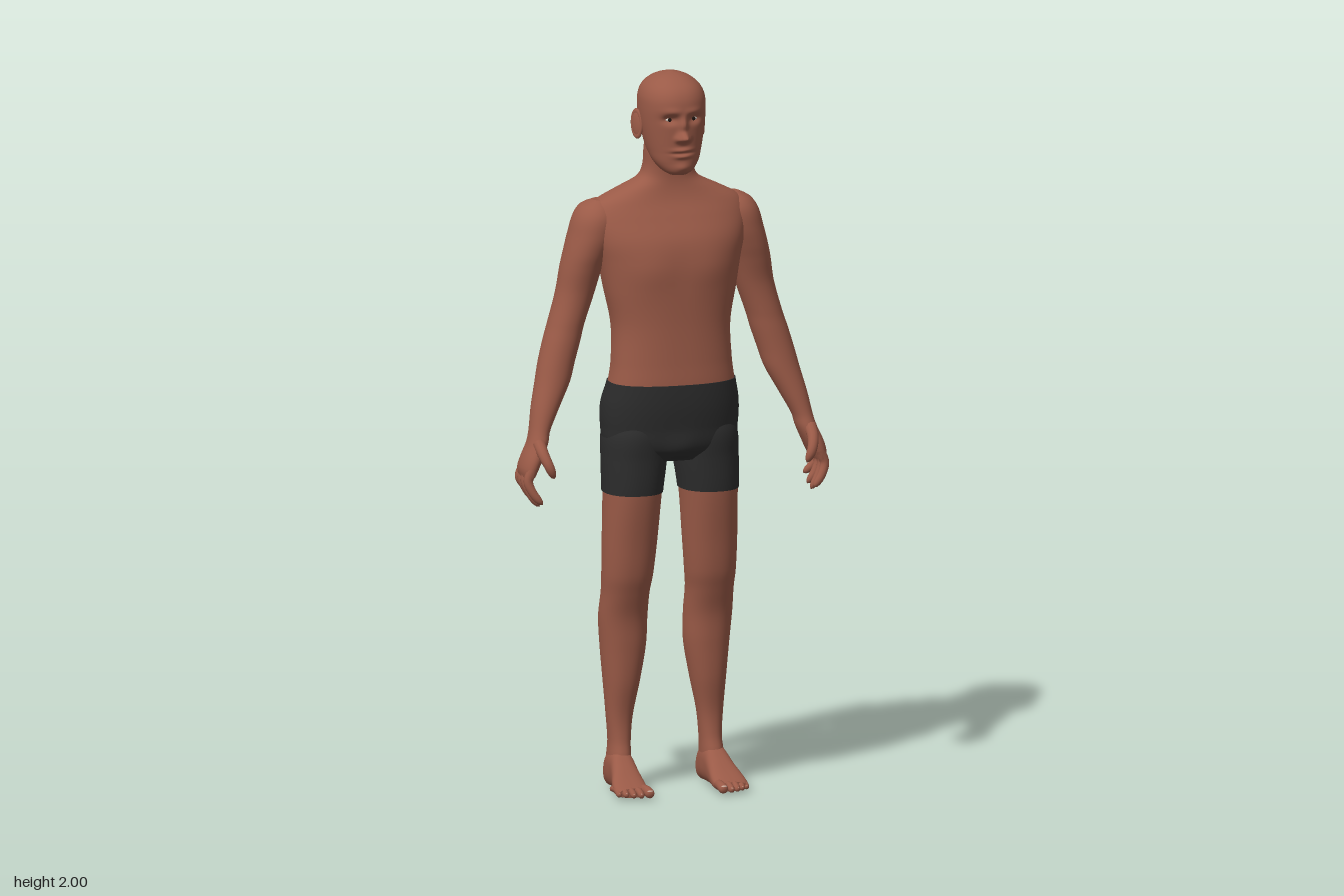
import * as THREE from 'three';
import { mergeVertices } from 'three/addons/utils/BufferGeometryUtils.js';

const paint = (name, color) => Object.assign(new THREE.MeshStandardMaterial({ color }), { name });

// Cross-section rows: [height, centre x, half width, back z, front z]
const TORSO = [
  [0.925, 0, 0.12, -0.08, 0.06], [0.96, 0, 0.175, -0.125, 0.09], [1.02, 0, 0.188, -0.14, 0.1],
  [1.08, 0, 0.188, -0.138, 0.107], [1.14, 0, 0.176, -0.112, 0.108], [1.2, 0, 0.168, -0.105, 0.104],
  [1.3, 0, 0.166, -0.115, 0.1], [1.4, 0, 0.185, -0.13, 0.1], [1.48, 0, 0.2, -0.142, 0.098],
  [1.54, 0, 0.215, -0.148, 0.088], [1.6, 0, 0.222, -0.142, 0.06], [1.64, 0, 0.203, -0.125, 0.04],
  [1.67, 0, 0.148, -0.11, 0.03], [1.7, 0, 0.088, -0.095, 0.025], [1.73, 0, 0.071, -0.085, 0.025],
  [1.79, 0, 0.068, -0.075, 0.03], [1.84, 0, 0.06, -0.06, 0.02],
];
const LEG = [
  [0.05, 0.134, 0.031, -0.105, 0], [0.09, 0.133, 0.031, -0.106, -0.004], [0.13, 0.131, 0.03, -0.1, -0.016],
  [0.2, 0.13, 0.036, -0.1, -0.02], [0.3, 0.124, 0.05, -0.115, -0.005], [0.4, 0.12, 0.063, -0.122, 0.003],
  [0.48, 0.122, 0.067, -0.115, 0.01], [0.55, 0.121, 0.066, -0.1, 0.03], [0.6, 0.119, 0.07, -0.092, 0.045],
  [0.7, 0.115, 0.075, -0.09, 0.06], [0.835, 0.109, 0.079, -0.1, 0.08], [0.93, 0.103, 0.085, -0.115, 0.085],
  [1.0, 0.1, 0.083, -0.125, 0.088], [1.06, 0.09, 0.06, -0.09, 0.07],
];
const ARM = [
  [0.9, 0.418, 0.018, -0.045, 0.058], [0.92, 0.414, 0.025, -0.049, 0.06], [0.95, 0.403, 0.028, -0.045, 0.058],
  [0.99, 0.386, 0.028, -0.042, 0.046], [1.02, 0.378, 0.028, -0.045, 0.035], [1.08, 0.357, 0.038, -0.065, 0.025],
  [1.15, 0.33, 0.048, -0.087, 0.014], [1.2, 0.316, 0.05, -0.1, 0.008], [1.26, 0.298, 0.051, -0.11, 0.003],
  [1.3, 0.286, 0.05, -0.115, 0], [1.39, 0.258, 0.053, -0.118, 0], [1.46, 0.242, 0.057, -0.122, 0.012],
  [1.5, 0.23, 0.06, -0.125, 0.02], [1.55, 0.212, 0.065, -0.13, 0.025], [1.6, 0.2, 0.062, -0.125, 0.02],
  [1.63, 0.195, 0.045, -0.11, 0], [1.645, 0.19, 0.02, -0.075, -0.025],
];
const HEAD = [
  [1.725, 0, 0.025, 0.03, 0.085], [1.735, 0, 0.042, 0, 0.097], [1.76, 0, 0.062, -0.03, 0.1],
  [1.79, 0, 0.073, -0.062, 0.102], [1.83, 0, 0.082, -0.085, 0.105], [1.87, 0, 0.088, -0.1, 0.108],
  [1.91, 0, 0.09, -0.11, 0.112], [1.94, 0, 0.087, -0.108, 0.107], [1.965, 0, 0.075, -0.095, 0.091],
  [1.985, 0, 0.052, -0.067, 0.062], [1.996, 0, 0.026, -0.036, 0.033], [2.0, 0, 0.005, -0.01, 0.008],
];
// Foot rows run heel to toe: [z, centre x, half width, -top, -bottom]
const FOOT = [
  [-0.118, 0.133, 0.012, -0.05, -0.015], [-0.105, 0.133, 0.028, -0.075, 0], [-0.07, 0.134, 0.034, -0.11, 0],
  [-0.02, 0.135, 0.035, -0.105, 0], [0.02, 0.138, 0.04, -0.078, 0], [0.06, 0.142, 0.047, -0.05, 0],
  [0.09, 0.143, 0.047, -0.034, 0], [0.105, 0.141, 0.042, -0.027, -0.002],
];

// Smooth interpolation of the rows at one height
function sample(rows, y) {
  let i = 0;
  while (i < rows.length - 2 && y > rows[i + 1][0]) i++;
  const a = rows[i], b = rows[i + 1], p = rows[Math.max(i - 1, 0)], q = rows[Math.min(i + 2, rows.length - 1)];
  const h = b[0] - a[0], t = (y - a[0]) / h, t2 = t * t, t3 = t2 * t;
  return a.map((v, k) => {
    const m0 = (b[k] - p[k]) / (b[0] - p[0]) * h, m1 = (q[k] - v) / (q[0] - a[0]) * h;
    return v * (2 * t3 - 3 * t2 + 1) + m0 * (t3 - 2 * t2 + t) + b[k] * (3 * t2 - 2 * t3) + m1 * (t3 - t2);
  });
}

// Closed skin through superellipse rings, from height y0 to y1
function loft(rows, y0, y1, { count = 50, segs = 48, power = 2.2, grow = 0 } = {}) {
  const pos = [], index = [];
  const ring = (y) => {
    const [, cx, rx, zb, zf] = sample(rows, y);
    for (let j = 0; j < segs; j++) {
      const a = j / segs * Math.PI * 2, c = Math.cos(a), s = Math.sin(a);
      pos.push(cx + (rx + grow) * Math.sign(c) * Math.abs(c) ** (2 / power), y,
        (zb + zf) / 2 + ((zf - zb) / 2 + grow) * Math.sign(s) * Math.abs(s) ** (2 / power));
    }
    return [cx, y, (zb + zf) / 2];
  };
  for (let i = 0; i <= count; i++) {
    ring(y0 + (y1 - y0) * i / count);
    for (let j = 0; j < segs && i < count; j++) {
      const a = i * segs + j, b = i * segs + (j + 1) % segs;
      index.push(a, a + segs, b, b, a + segs, b + segs);
    }
  }
  [y0, y1].forEach((y, top) => {
    const base = pos.length / 3;
    pos.push(...ring(y));
    for (let j = 0; j < segs; j++) {
      const a = base + j, b = base + (j + 1) % segs;
      index.push(base + segs, top ? b : a, top ? a : b);
    }
  });
  const g = new THREE.BufferGeometry();
  g.setAttribute('position', new THREE.Float32BufferAttribute(pos, 3));
  g.setIndex(index);
  g.computeVertexNormals();
  return g;
}

// Soft pushes along z: [x, y, z, radius x, radius y, push]; off-centre ones act on both sides
function sculpt(g, pushes) {
  const p = g.attributes.position;
  for (let i = 0; i < p.count; i++) {
    const x = Math.abs(p.getX(i)), y = p.getY(i), z = p.getZ(i);
    let dz = 0;
    for (const [cx, cy, cz, rx, ry, push] of pushes)
      dz += push * Math.exp(-(((x - cx) / rx) ** 2) - ((y - cy) / ry) ** 2 - ((z - cz) / 0.06) ** 2);
    p.setZ(i, z + dz);
  }
  g.computeVertexNormals();
  return g;
}

// Tapered, round-tipped finger or toe along a curve
function digit(points, r0, r1) {
  const curve = new THREE.CatmullRomCurve3(points.map((p) => new THREE.Vector3(...p)));
  const N = 18, R = 12, g = new THREE.TubeGeometry(curve, N, 1, R), p = g.attributes.position;
  const v = new THREE.Vector3();
  for (let i = 0; i <= N; i++) {
    const t = i / N, c = curve.getPointAt(t);
    const r = (r0 + (r1 - r0) * t) * (t > 0.75 ? Math.sqrt(Math.max(0, 1 - ((t - 0.75) / 0.25) ** 2)) : 1);
    for (let j = 0; j <= R; j++) {
      const k = i * (R + 1) + j;
      v.fromBufferAttribute(p, k).sub(c).multiplyScalar(r).add(c);
      p.setXYZ(k, v.x, v.y, v.z);
    }
  }
  g.deleteAttribute('uv');
  g.deleteAttribute('normal');
  const m = mergeVertices(g, 1e-5);
  m.computeVertexNormals();
  return m;
}

const blob = (x, y, z, rx, ry, rz) => new THREE.SphereGeometry(1, 20, 14).scale(rx, ry, rz).translate(x, y, z);

function mirrored(g) {
  const m = g.clone().scale(-1, 1, 1), ix = m.index;
  for (let i = 0; i < ix.count; i += 3) {
    const a = ix.getX(i);
    ix.setX(i, ix.getX(i + 1));
    ix.setX(i + 1, a);
  }
  return m;
}

export function createModel() {
  const model = new THREE.Group();
  model.name = 'standingMan';
  const skin = paint('skin', 0x9a5a47), cloth = paint('shortsFabric', 0x2c2c2c);
  const nail = paint('nail', 0xc9a99a), white = paint('eyeWhite', 0xd8d0c8), dark = paint('iris', 0x1e1410);
  const add = (name, g, mat) => {
    const mesh = new THREE.Mesh(g, mat);
    mesh.name = name;
    model.add(mesh);
  };
  const pair = (name, g, mat) => {
    add(name + 'Left', g, mat);
    add(name + 'Right', mirrored(g), mat);
  };

  // Torso with chest and spine relief
  add('torso', sculpt(loft(TORSO, 1.13, 1.84, { count: 90, segs: 72, power: 2.4 }), [
    [0.09, 1.46, 0.1, 0.07, 0.06, 0.006], [0, 1.4, -0.13, 0.025, 0.2, 0.008],
  ]), skin);

  // Shorts: seat and two legs
  add('shortsSeat', sculpt(loft(TORSO, 0.925, 1.143, { segs: 96, power: 2.4, grow: 0.003 }), [
    [0, 1.0, -0.13, 0.018, 0.06, 0.025], [0, 0.96, 0.1, 0.04, 0.04, 0.008],
  ]), cloth);
  pair('shortsLeg', loft(LEG, 0.835, 1.06, { grow: 0.003 }), cloth);

  // Legs and feet
  pair('leg', loft(LEG, 0.05, 0.86, { count: 70 }), skin);
  pair('foot', loft(FOOT, -0.118, 0.105, { count: 36, power: 2.5 }).rotateX(Math.PI / 2), skin);
  const toes = [[0.106, 0.147, 0.0135], [0.13, 0.143, 0.0095], [0.149, 0.135, 0.009], [0.167, 0.123, 0.009], [0.183, 0.11, 0.0085]];
  toes.forEach(([x, z, r], i) => {
    pair('toe' + (i + 1), digit([[x + 0.002, 0.02, z - 0.06], [x, 0.02, z - 0.03], [x, r, z]], r, r), skin);
    pair('toenail' + (i + 1), blob(x, r * 1.75, z - 0.009, r * 0.65, 0.004, 0.007), nail);
  });

  // Arms with palm, fingers and thumb
  pair('arm', loft(ARM, 0.9, 1.645, { count: 90, power: 2.1 }), skin);
  const fingers = [[0.046, 0.062, 0.825], [0.02, 0.034, 0.815], [-0.007, 0.002, 0.825], [-0.032, -0.03, 0.848]];
  fingers.forEach(([z0, z1, tip], i) => pair('finger' + (i + 1), digit([
    [0.412, 0.925, z0], [0.426, 0.89, z0], [0.415, (0.89 + tip) / 2, (z0 + z1) / 2], [0.39, tip, z1],
  ], 0.0145, 0.0105), skin));
  pair('thumb', digit([[0.39, 0.99, 0.03], [0.388, 0.965, 0.062], [0.378, 0.935, 0.083], [0.363, 0.9, 0.083]], 0.018, 0.011), skin);

  // Head with sculpted face
  add('head', sculpt(loft(HEAD, 1.725, 2, { count: 100, segs: 128 }), [
    [0.034, 1.883, 0.1, 0.02, 0.012, -0.014], [0.03, 1.905, 0.11, 0.025, 0.01, 0.004],
    [0, 1.868, 0.11, 0.011, 0.022, 0.015], [0, 1.834, 0.11, 0.013, 0.013, 0.038],
    [0.015, 1.829, 0.105, 0.008, 0.008, 0.011], [0, 1.797, 0.1, 0.024, 0.006, 0.009],
    [0, 1.779, 0.1, 0.021, 0.006, 0.008], [0, 1.788, 0.1, 0.026, 0.003, -0.006], [0, 1.748, 0.1, 0.02, 0.012, 0.006],
  ]), skin);
  pair('eye', blob(0.034, 1.882, 0.083, 0.013, 0.0065, 0.01), white);
  pair('iris', blob(0.034, 1.882, 0.0915, 0.0055, 0.0055, 0.0025), dark);

  // Ears: flat shell with a raised rim
  const placeEar = (g) => g.rotateY(-0.4).rotateX(-0.12).translate(0.094, 1.856, -0.014);
  pair('earShell', placeEar(blob(0, 0, 0, 0.007, 0.036, 0.02)), skin);
  pair('earRim', placeEar(new THREE.TorusGeometry(0.019, 0.0045, 10, 28).rotateY(Math.PI / 2).scale(1, 1.8, 1)), skin);

  return model;
}
